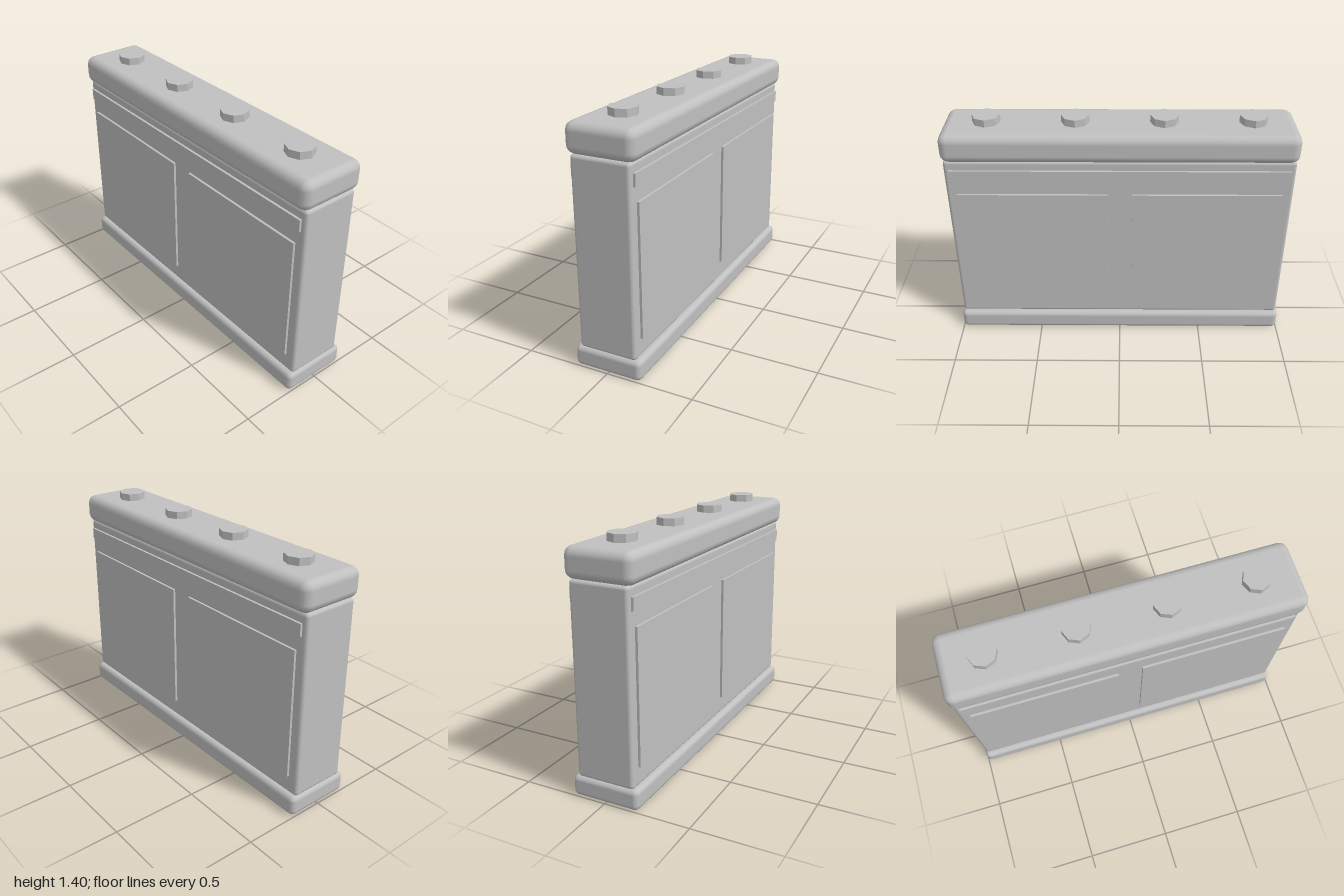
import * as THREE from 'three';
import { RoundedBoxGeometry } from 'three/addons/geometries/RoundedBoxGeometry.js';

export function createModel() {
  const group = new THREE.Group();
  group.name = 'slabWall';
  const grey = new THREE.MeshStandardMaterial({ color: 0xc0c0c0 });
  grey.name = 'grey';

  function add(name, geometry, x, y, z) {
    const mesh = new THREE.Mesh(geometry, grey);
    mesh.name = name;
    mesh.position.set(x, y, z);
    group.add(mesh);
  }

  // Bevelled slab spanning y0..y1
  function slab(name, width, depth, y0, y1, bevel) {
    add(name, new RoundedBoxGeometry(width, y1 - y0, depth, 2, bevel), 0, (y0 + y1) / 2, 0);
  }
  slab('base', 2, 0.4, 0, 0.12, 0.03);
  slab('body', 1.98, 0.34, 0.115, 1.195, 0.02);
  slab('topCap', 2, 0.4, 1.19, 1.36, 0.05);

  // Raised strip and two panels on the front and back
  for (const side of [1, -1]) {
    const face = side > 0 ? 'front' : 'back';
    add(face + 'Strip', new THREE.BoxGeometry(1.92, 0.07, 0.03), 0, 1.105, side * 0.169);
    for (const x of [-0.5, 0.5]) {
      add(face + 'Panel', new THREE.BoxGeometry(0.86, 0.76, 0.03), x, 0.605, side * 0.169);
    }
  }

  // Octagonal studs along the top, sunk slightly into the cap
  for (const x of [-0.75, -0.25, 0.25, 0.75]) {
    const stud = new THREE.CylinderGeometry(0.08, 0.08, 0.06, 8).toNonIndexed();
    stud.computeVertexNormals();
    add('stud', stud, x, 1.373, 0);
  }
  return group;
}
